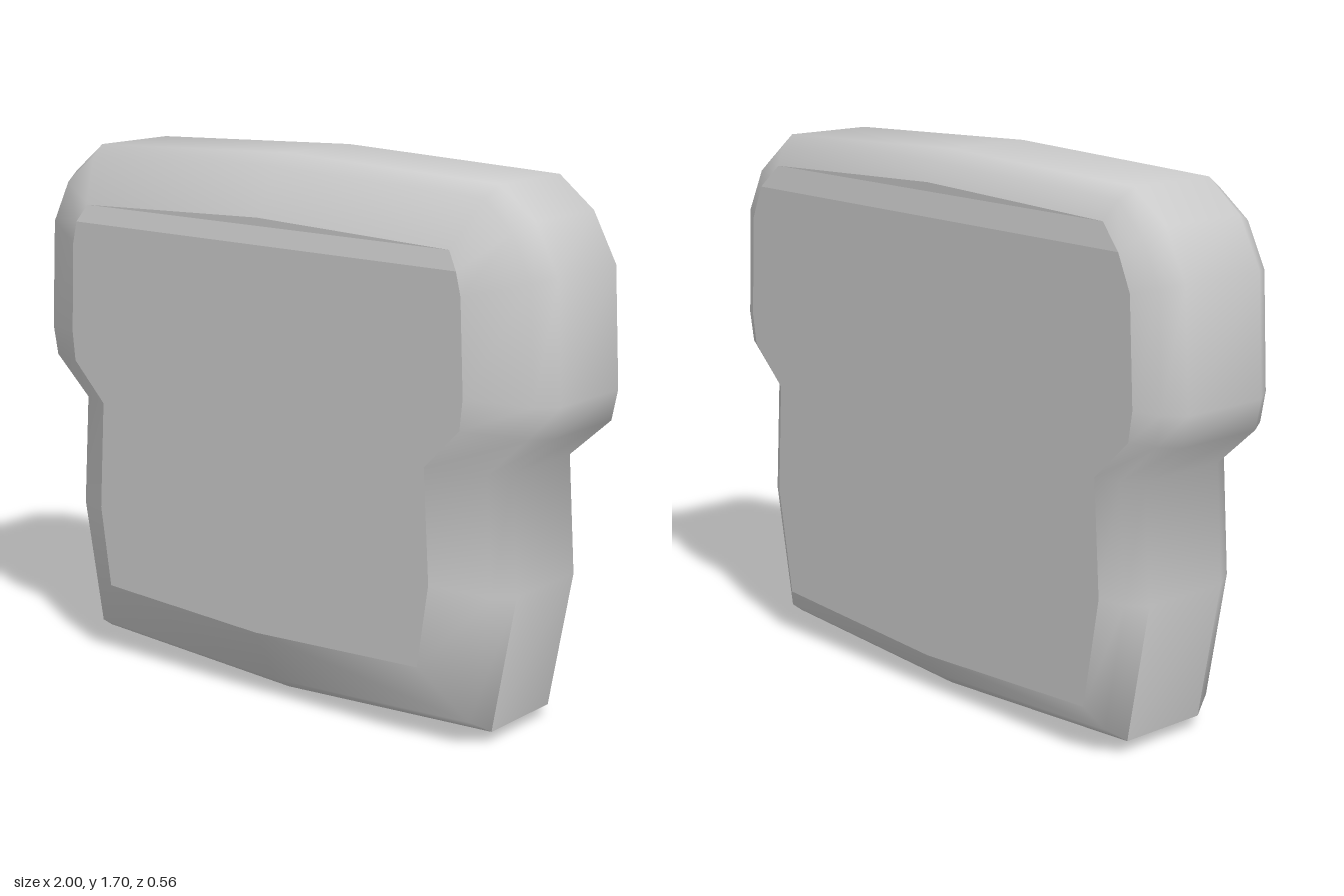
import * as THREE from 'three';
import { toCreasedNormals } from 'three/addons/utils/BufferGeometryUtils.js';

// Right half of the slice, top to bottom: widest outline and front face edge.
const outer = [[0, 1.7], [0.78, 1.67], [0.9, 1.575], [0.98, 1.425], [1, 1.06],
  [0.98, 0.965], [0.84, 0.84], [0.865, 0.475], [0.785, 0.04], [0, 0]];
const inner = [[0, 1.52], [0.71, 1.495], [0.745, 1.44], [0.762, 1.37], [0.775, 1.08],
  [0.765, 0.985], [0.642, 0.86], [0.663, 0.51], [0.625, 0.25], [0, 0.222]];
const LAST = outer.length - 1;
const N = LAST * 2;

// Closed ring: t blends outer to inner, the top two points may lean by 'lean'.
function makeRing(t, z, lean = 0) {
  const half = outer.map(([x, y], i) => new THREE.Vector3(
    THREE.MathUtils.lerp(x, inner[i][0], t),
    THREE.MathUtils.lerp(y, inner[i][1], t),
    i < 2 ? z - Math.sign(z) * lean : z));
  const mirrored = half.slice(1, LAST).reverse().map((p) => new THREE.Vector3(-p.x, p.y, p.z));
  return [...half, ...mirrored];
}

// Rounded crust: quads between neighbouring rings, ordered back to front.
function crustGeometry(rings) {
  const points = [];
  for (let r = 0; r < rings.length - 1; r++) {
    for (let i = 0; i < N; i++) {
      const j = (i + 1) % N;
      const a = rings[r][i], b = rings[r][j], c = rings[r + 1][j], d = rings[r + 1][i];
      points.push(a, d, c, a, c, b);
    }
  }
  return toCreasedNormals(new THREE.BufferGeometry().setFromPoints(points), 1.22);
}

// Face: horizontal strips joining the left and right edges of a ring.
function faceGeometry(ring, isFront) {
  const points = [];
  const add = (a, b, c) => points.push(...(isFront ? [a, b, c] : [a, c, b]));
  for (let i = 0; i < LAST; i++) {
    const r0 = ring[i], r1 = ring[i + 1];
    const l0 = ring[(N - i) % N], l1 = ring[N - i - 1];
    if (i < LAST - 1) add(l0, l1, r1);
    if (i > 0) add(l0, r1, r0);
  }
  const geometry = new THREE.BufferGeometry().setFromPoints(points);
  geometry.computeVertexNormals();
  return geometry;
}

export function createModel() {
  const group = new THREE.Group();
  group.name = 'breadSlice';
  const material = new THREE.MeshStandardMaterial({ color: 0xcccccc });

  const rings = [
    makeRing(0.52, -0.28, 0.015),
    makeRing(0.2, -0.24, 0.01),
    makeRing(0, -0.18),
    makeRing(0, 0.12),
    makeRing(0.2, 0.19, 0.012),
    makeRing(1, 0.28, 0.015),
  ];

  const parts = {
    crust: crustGeometry(rings),
    frontFace: faceGeometry(rings[rings.length - 1], true),
    backFace: faceGeometry(rings[0], false),
  };
  for (const [name, geometry] of Object.entries(parts)) {
    const mesh = new THREE.Mesh(geometry, material);
    mesh.name = name;
    group.add(mesh);
  }
  return group;
}
